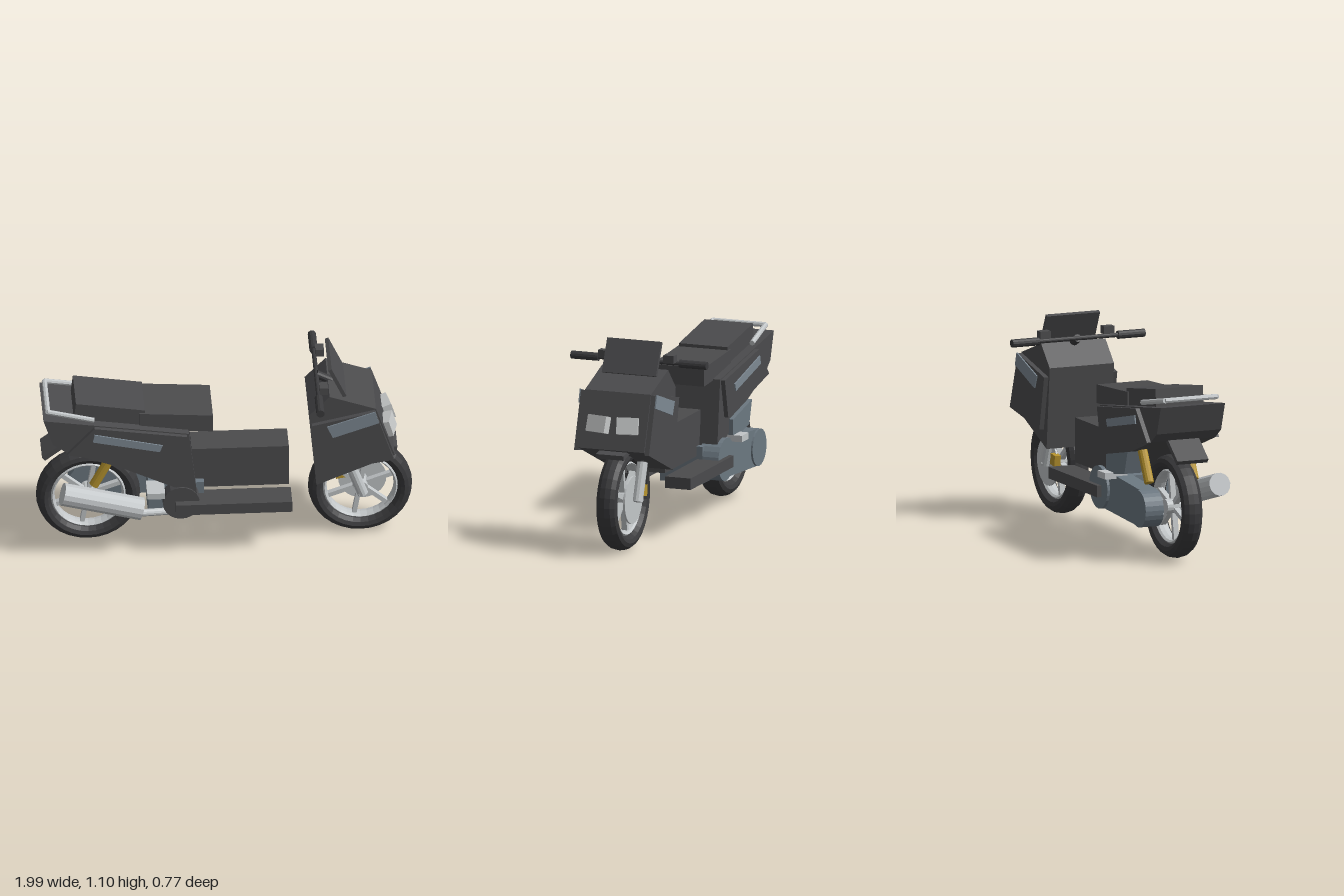
import * as THREE from 'three';

const mat = (name, color) => {
  const m = new THREE.MeshStandardMaterial({ color, flatShading: true });
  m.name = name;
  return m;
};

export function createModel() {
  const root = new THREE.Group();
  root.name = 'scooter';
  const body = mat('charcoal body', 0x4b4b4d);
  const rubber = mat('tyre rubber', 0x3a3a3c);
  const metal = mat('engine grey', 0x6c7881);
  const trim = mat('stripe blue grey', 0x7d8993);
  const silver = mat('silver', 0xc2c6c8);
  const lens = mat('headlight lens', 0xc6c8c8);
  const gold = mat('gold', 0xb8952f);
  const V = (x, y, z) => new THREE.Vector3(x, y, z);

  const add = (name, geo, m, parent = root) => {
    const mesh = new THREE.Mesh(geo, m);
    mesh.name = name;
    parent.add(mesh);
    return mesh;
  };
  const box = (name, m, size, pos, tilt = 0, parent = root) => {
    const b = add(name, new THREE.BoxGeometry(...size), m, parent);
    b.position.set(...pos);
    b.rotation.z = tilt;
    return b;
  };
  // cylinder between two points
  const rod = (name, m, a, b, r1, r2 = r1, sides = 12, parent = root) => {
    const d = b.clone().sub(a);
    const c = add(name, new THREE.CylinderGeometry(r2, r1, d.length(), sides), m, parent);
    c.position.copy(a).add(b).multiplyScalar(0.5);
    c.quaternion.setFromUnitVectors(V(0, 1, 0), d.normalize());
    return c;
  };
  // side outline extruded from z0 to z1
  const slab = (name, m, pts, z0, z1) => {
    const shape = new THREE.Shape(pts.map(([x, y]) => new THREE.Vector2(x, y)));
    const g = new THREE.ExtrudeGeometry(shape, { depth: z1 - z0, bevelEnabled: false });
    return add(name, g.translate(0, 0, z0), m);
  };
  const bothSlabs = (name, m, pts, z0, z1) => {
    slab(name + 'Left', m, pts, z0, z1);
    slab(name + 'Right', m, pts, -z1, -z0);
  };

  // wheels
  const wheel = (name, x) => {
    const g = new THREE.Group();
    g.name = name;
    g.position.set(x, 0.28, 0);
    root.add(g);
    add('tyre', new THREE.TorusGeometry(0.235, 0.041, 12, 32), rubber, g).scale.z = 1.45;
    add('rim', new THREE.TorusGeometry(0.19, 0.013, 8, 32), silver, g).scale.z = 2.6;
    rod('hub', silver, V(0, 0, -0.05), V(0, 0, 0.05), 0.04, 0.04, 16, g);
    for (let i = 0; i < 6; i++) {
      const a = (i * Math.PI) / 3 + 0.35;
      box('spoke', silver, [0.16, 0.024, 0.03], [Math.cos(a) * 0.11, Math.sin(a) * 0.11, 0], a, g);
    }
    return g;
  };
  wheel('rearWheel', -0.723);
  const front = wheel('frontWheel', 0.717);
  rod('brakeDisc', silver, V(0.015, 0, -0.066), V(0.015, 0, -0.056), 0.128, 0.128, 28, front);
  box('brakeCaliper', gold, [0.055, 0.06, 0.035], [-0.1, 0.03, -0.07], 0.15, front);
  rod('axle', silver, V(0, 0, -0.11), V(0, 0, 0.11), 0.014, 0.014, 10, front);

  // fork, shocks, pegs and floor on both sides
  for (const s of [-1, 1]) {
    rod('forkLeg', silver, V(0.727, 0.27, s * 0.085), V(0.655, 0.47, s * 0.085), 0.029);
    rod('upperFork', rubber, V(0.655, 0.47, s * 0.085), V(0.6, 0.62, s * 0.085), 0.022);
    rod('rearShock', gold, V(-0.7, 0.41, s * 0.13), V(-0.6, 0.6, s * 0.13), 0.026);
    box('footPeg', silver, [0.095, 0.035, 0.13], [-0.377, 0.408, s * 0.195]);
    box('footBoard', body, [0.615, 0.062, 0.145], [0.037, 0.299, s * 0.163]);
    box('switchBox', body, [0.045, 0.042, 0.06], [0.513, 1.008, s * 0.185]);
    rod('grip', rubber, V(0.485, 0.98, s * 0.23), V(0.485, 0.98, s * 0.385), 0.022);
    // headlights follow the sloping nose
    const h = box('headlight', lens, [0.05, 0.09, 0.115], [0.862, 0.705, s * 0.084], 0.3);
    h.rotation.y = -s * 0.2;
  }
  box('floorTunnel', body, [0.515, 0.24, 0.17], [0.078, 0.465, 0]);

  // handlebar and screen
  rod('handlebar', rubber, V(0.485, 0.98, -0.24), V(0.485, 0.98, 0.24), 0.012);
  rod('stem', rubber, V(0.485, 0.98, 0), V(0.6, 0.92, 0), 0.022);
  box('windscreen', body, [0.02, 0.188, 0.308], [0.588, 1.017, 0], 0.43);

  // front cowl
  slab('frontCowl', body, [[0.435, 0.84], [0.545, 0.955], [0.79, 0.87], [0.89, 0.575], [0.475, 0.4]], -0.187, 0.187);
  bothSlabs('cowlSidePanel', body, [[0.45, 0.79], [0.785, 0.865], [0.885, 0.56], [0.51, 0.5]], 0.187, 0.213);
  bothSlabs('cowlStripe', trim, [[0.53, 0.785], [0.785, 0.87], [0.805, 0.8], [0.56, 0.715]], 0.213, 0.22);
  box('frontFender', body, [0.2, 0.026, 0.156], [0.81, 0.56, 0], -0.2);

  // tail body, panels and seats
  slab('tailBody', body, [[-0.97, 0.86], [-0.2, 0.75], [-0.155, 0.35], [-0.2, 0.38], [-0.35, 0.45],
    [-0.57, 0.555], [-0.845, 0.655], [-0.92, 0.71]], -0.187, 0.187);
  bothSlabs('tailSidePanel', body, [[-0.7, 0.815], [-0.21, 0.745], [-0.26, 0.535], [-0.845, 0.655]], 0.187, 0.21);
  bothSlabs('tailStripe', trim, [[-0.7, 0.78], [-0.34, 0.7], [-0.355, 0.66], [-0.71, 0.735]], 0.21, 0.217);
  slab('frontSeat', body, [[-0.46, 0.86], [-0.07, 0.835], [-0.07, 0.735], [-0.46, 0.76]], -0.147, 0.147);
  slab('rearSeat', body, [[-0.795, 0.93], [-0.43, 0.875], [-0.43, 0.78], [-0.807, 0.83]], -0.138, 0.138);
  box('rearFender', body, [0.2, 0.026, 0.18], [-0.885, 0.617, 0], 0.66);

  // grab rail
  const rail = [V(-0.7, 0.845, 0.17), V(-0.945, 0.893, 0.15), V(-0.945, 0.893, -0.15), V(-0.7, 0.845, -0.17)];
  for (let i = 0; i < 3; i++) rod('grabRail', silver, rail[i], rail[i + 1], 0.014, 0.014, 8);

  // engine and drive case
  box('engineBlock', metal, [0.295, 0.2, 0.24], [-0.263, 0.298, 0]);
  rod('driveCover', metal, V(-0.23, 0.315, -0.21), V(-0.23, 0.315, -0.1), 0.115, 0.115, 24);
  slab('driveCase', metal, [[-0.23, 0.42], [-0.23, 0.21], [-0.72, 0.18], [-0.72, 0.38]], -0.195, -0.1);
  rod('driveCaseEnd', metal, V(-0.72, 0.28, -0.205), V(-0.72, 0.28, -0.1), 0.1, 0.1, 24);
  slab('airBox', metal, [[-0.6, 0.565], [-0.33, 0.51], [-0.33, 0.4], [-0.56, 0.44]], -0.21, -0.11);
  rod('crankCover', body, V(-0.24, 0.318, 0.1), V(-0.24, 0.318, 0.195), 0.098, 0.098, 20);

  // exhaust
  rod('muffler', silver, V(-0.87, 0.405, 0.203), V(-0.45, 0.285, 0.185), 0.062, 0.062, 14);
  rod('exhaustPipe', silver, V(-0.46, 0.255, 0.18), V(-0.22, 0.225, 0.12), 0.02);

  return root;
}
